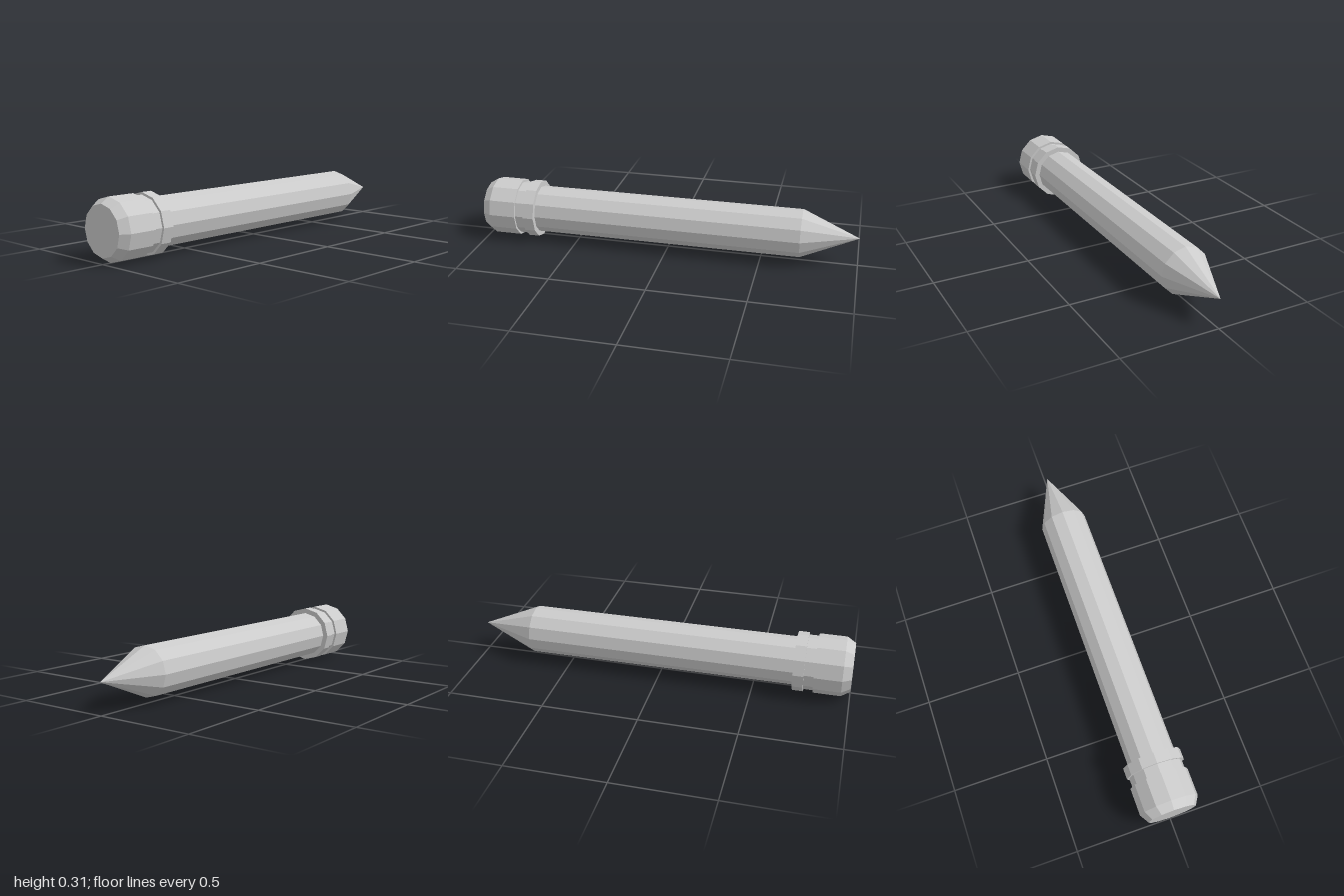
import * as THREE from 'three';

const SIDES = 12;
const RADIUS = 0.153;

export function createModel() {
  const model = new THREE.Group();
  model.name = 'pencil';
  const material = new THREE.MeshStandardMaterial({ color: 0xcccccc, flatShading: true });

  // Faceted part turned about the z axis; profile is [radius, z] from back to front.
  function turned(name, profile) {
    const points = profile.map(([r, z]) => new THREE.Vector2(r, z));
    const geometry = new THREE.LatheGeometry(points, SIDES);
    geometry.rotateX(Math.PI / 2);
    const mesh = new THREE.Mesh(geometry, material);
    mesh.name = name;
    mesh.position.y = RADIUS;
    model.add(mesh);
  }

  // Sharpened point and long barrel
  turned('tip', [[0, -1], [0.125, -0.705]]);
  turned('barrel', [[0.125, -0.705], [0.125, 0.708]]);

  // Metal collar: raised ring, then a shallow groove
  turned('collarRing', [[0.125, 0.708], [RADIUS, 0.708], [RADIUS, 0.764], [0.141, 0.764]]);
  turned('collarGroove', [[0.141, 0.764], [0.141, 0.814]]);

  // Eraser with a bevelled front edge
  turned('eraser', [[0.141, 0.814], [RADIUS, 0.814], [RADIUS, 0.955], [0.125, 1], [0, 1]]);

  return model;
}
